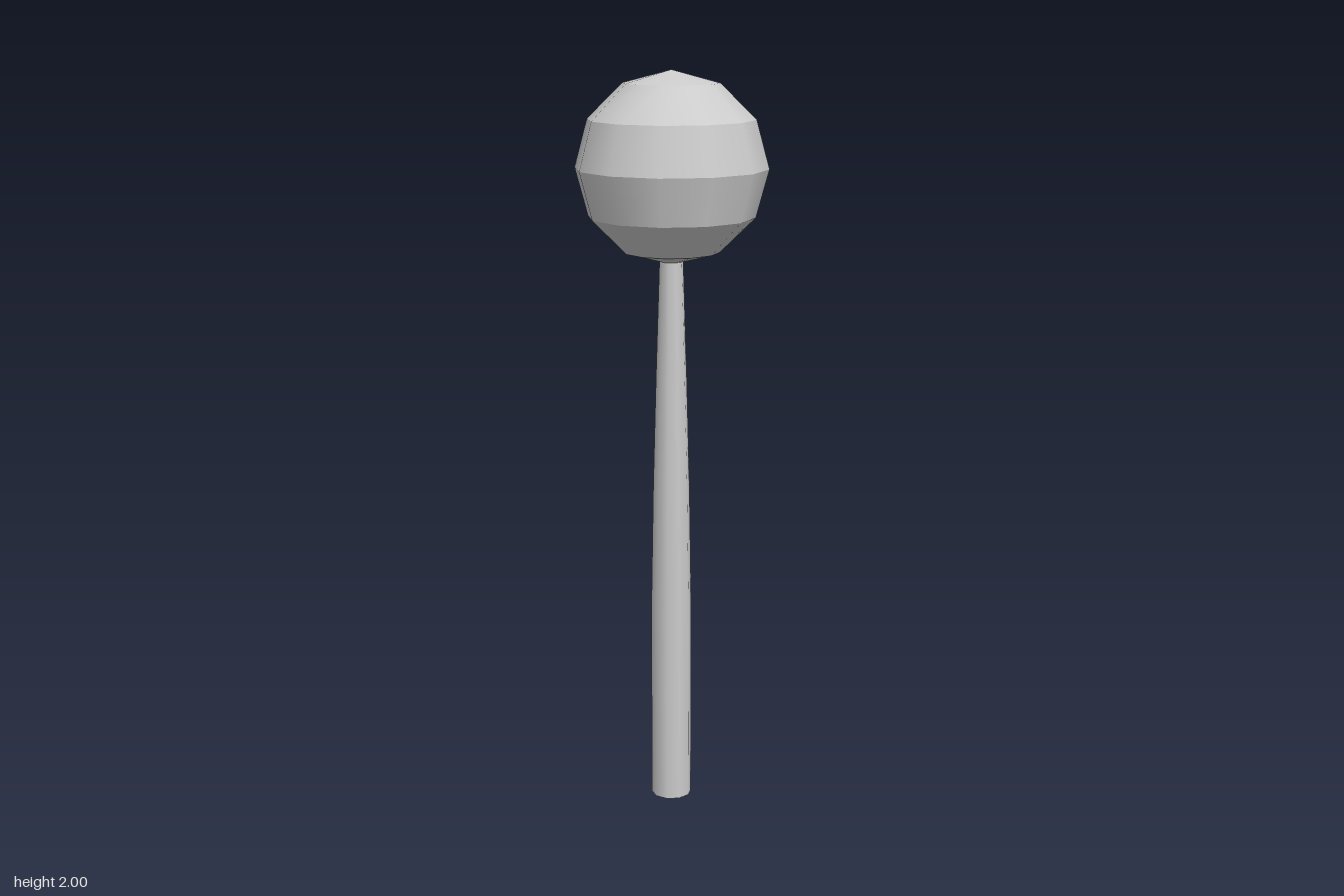
import * as THREE from 'three';

export function createModel() {
  const model = new THREE.Group();
  const material = new THREE.MeshStandardMaterial({ color: 0xcccccc });

  const add = (parent, name, geometry) => {
    const mesh = new THREE.Mesh(geometry, material);
    mesh.name = name;
    parent.add(mesh);
    return mesh;
  };

  // Tapering ten-sided stick, closed at the foot and running into the ball
  const profile = [[0.055, 0], [0.055, 0.55], [0.049, 0.9], [0.041, 1.2], [0.031, 1.52]]
    .map(([r, y]) => new THREE.Vector2(r, y));
  add(model, 'stick', new THREE.LatheGeometry(profile, 10));
  const foot = add(model, 'stickFoot', new THREE.CircleGeometry(0.055, 10, Math.PI / 2));
  foot.rotation.x = Math.PI / 2;

  // Twelve-sided ball: smooth around each band, sharp between bands
  const ball = new THREE.Group();
  ball.name = 'ball';
  ball.position.y = 1.75;
  const bands = 6, radius = 0.254, halfHeight = 0.25;
  const ring = (i) => {
    const a = (i / bands) * Math.PI;
    return { r: radius * Math.sin(a), y: halfHeight * Math.cos(a) };
  };
  for (let i = 0; i < bands; i++) {
    const top = ring(i), bottom = ring(i + 1);
    const band = add(ball, 'ballBand' + (i + 1),
      new THREE.CylinderGeometry(top.r, bottom.r, top.y - bottom.y, 12, 1, true));
    band.position.y = (top.y + bottom.y) / 2;
  }
  model.add(ball);

  return model;
}
